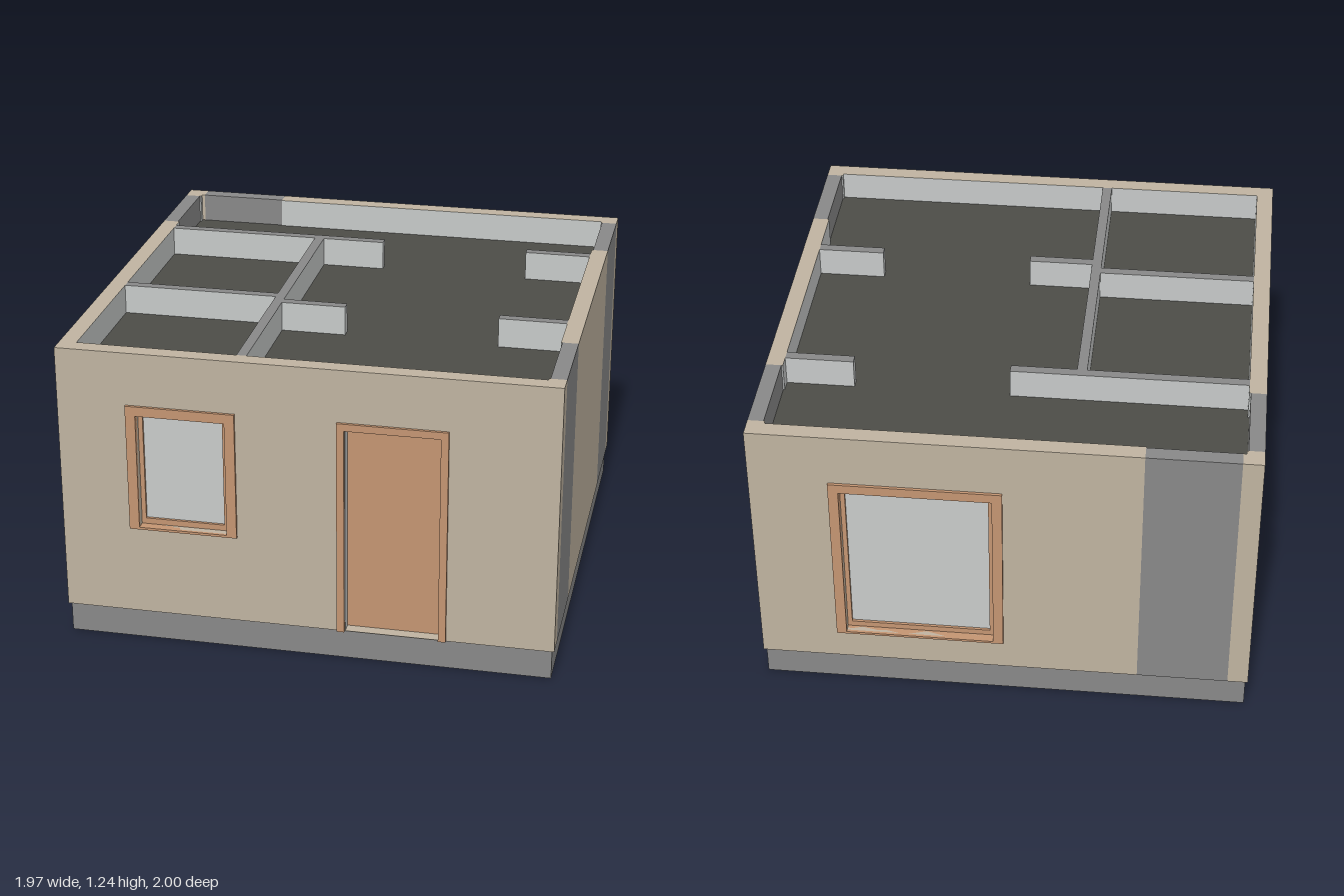
import * as THREE from 'three';

const mat = (name, color) => {
  const m = new THREE.MeshStandardMaterial({ color });
  m.name = name;
  return m;
};

export function createModel() {
  const tan = mat('tan render', 0xbfb3a0);
  const concrete = mat('grey concrete', 0x888888);
  const paint = mat('pale paint', 0xc6c9c8);
  const wood = mat('orange wood', 0xc49572);
  const slabDark = mat('dark slab', 0x4c4c47);
  const glass = mat('pale glass', 0xc8cbca);

  const BASE = 0.125, TOP = 1.24, OUT = 0.987, IN = 0.918, LINER = 0.006;
  const model = new THREE.Group();
  model.name = 'house';

  // Box given by its lower and upper bounds
  const box = (name, m, x0, x1, y0, y1, z0, z1, parent = model) => {
    const mesh = new THREE.Mesh(new THREE.BoxGeometry(x1 - x0, y1 - y0, z1 - z0), m);
    mesh.position.set((x0 + x1) / 2, (y0 + y1) / 2, (z0 + z1) / 2);
    mesh.name = name;
    parent.add(mesh);
    return mesh;
  };
  const painted = top => [paint, paint, top, paint, paint, paint];

  box('foundation', concrete, -0.977, 0.977, 0, BASE, -0.975, 0.975);
  box('ceilingSlab', slabDark, -0.926, 0.926, 1.1, 1.12, -0.926, 0.926);

  // Front or back wall with rectangular openings [x0, x1, y0, y1]
  const openWall = (name, x0, x1, z0, openings) => {
    const rect = (P, a, b, c, d) => {
      const p = new P();
      p.moveTo(a, c); p.lineTo(b, c); p.lineTo(b, d); p.lineTo(a, d); p.closePath();
      return p;
    };
    const shape = rect(THREE.Shape, x0, x1, BASE, TOP);
    openings.forEach(o => shape.holes.push(rect(THREE.Path, ...o)));
    const depth = OUT - IN - LINER;
    const mesh = new THREE.Mesh(new THREE.ExtrudeGeometry(shape, { depth, bevelEnabled: false }), tan);
    mesh.position.z = z0;
    mesh.name = name;
    model.add(mesh);
  };
  const core = IN + LINER;
  const door = [0.155, 0.53, BASE + 0.001, 0.995];
  const frontWindow = [-0.67, -0.315, 0.505, 0.983];
  const backWindow = [0.04, 0.635, 0.265, 0.983];
  openWall('frontWall', -OUT, OUT, core, [door, frontWindow]);
  openWall('backWall', -0.54, OUT, -OUT, [backWindow]);
  box('backWallPanel', concrete, -0.905, -0.54, BASE, TOP, -OUT, -core);
  box('backWallEnd', tan, -OUT, -0.905, BASE, TOP, -OUT, -core);

  // Side walls, split into tan stretches and concrete panels along z
  const cuts = { 1: [-core, -0.905, -0.54, 0.54, 0.905, core], '-1': [-core, -0.905, -0.54, core] };
  for (const side of [1, -1]) {
    const c = cuts[side];
    for (let i = 0; i < c.length - 1; i++) {
      const [x0, x1] = side > 0 ? [core, OUT] : [-OUT, -core];
      const isPanel = i % 2 === 1;
      box(isPanel ? 'sideWallPanel' : 'sideWall', isPanel ? concrete : tan, x0, x1, BASE, TOP, c[i], c[i + 1]);
      // Painted lining on the inner face
      if (!isPanel) {
        const [l0, l1] = side > 0 ? [IN, core] : [-core, -IN];
        box('sideLining', painted(tan), l0, l1, BASE, TOP, c[i], c[i + 1]);
      }
    }
  }
  box('frontLining', painted(tan), -IN, IN, BASE, TOP, IN, core);
  box('backLining', painted(tan), -0.54, IN, BASE, TOP, -core, -IN);

  // Inner partitions: x0, x1, z0, z1
  [
    [-IN, 0.022, -0.49, -0.45], [0.645, IN, -0.49, -0.45],
    [-0.28, -0.24, -0.45, IN], [-IN, -0.28, 0.24, 0.28],
    [-0.24, 0.022, 0.3, 0.34], [0.645, IN, 0.3, 0.34],
  ].forEach(([x0, x1, z0, z1]) => box('partition', painted(concrete), x0, x1, BASE, TOP, z0, z1));

  // Window: trim, recessed sash and pane, modelled facing +z
  const addWindow = (name, [x0, x1, y0, y1], facing) => {
    const g = new THREE.Group();
    g.name = name;
    if (facing < 0) { [x0, x1] = [-x1, -x0]; g.rotation.y = Math.PI; }
    const t = 0.04, s = 0.018, zi = 0.935, zo = 0.999;
    box('trimLeft', wood, x1, x1 + t, y0 - 0.01, y1 + t, zi, zo, g);
    box('trimRight', wood, x0 - t, x0, y0 - 0.01, y1 + t, zi, zo, g);
    box('trimTop', wood, x0, x1, y1, y1 + t, zi, zo, g);
    box('sill', wood, x0, x1, y0 - 0.01, y0, zi, zo, g);
    box('sashLeft', wood, x1 - s, x1, y0, y1, zi, 0.96, g);
    box('sashRight', wood, x0, x0 + s, y0, y1, zi, 0.96, g);
    box('sashTop', wood, x0 + s, x1 - s, y1 - s, y1, zi, 0.96, g);
    box('sashBottom', wood, x0 + s, x1 - s, y0, y0 + 0.024, zi, 0.96, g);
    box('pane', glass, x0 + s, x1 - s, y0 + 0.024, y1 - s, 0.94, 0.949, g);
    model.add(g);
  };
  addWindow('frontWindow', frontWindow, 1);
  addWindow('backWindow', backWindow, -1);

  // Door with trim, painted jambs and recessed leaf
  const [d0, d1, dy, dt] = door, t = 0.03;
  const doorGroup = new THREE.Group();
  doorGroup.name = 'door';
  box('doorLeaf', wood, d0, d1, dy, dt, 0.925, 0.94, doorGroup);
  box('doorTrimRight', wood, d0 - t, d0, BASE, dt + t, 0.98, 0.999, doorGroup);
  box('doorTrimLeft', wood, d1, d1 + t, BASE, dt + t, 0.98, 0.999, doorGroup);
  box('doorTrimTop', wood, d0, d1, dt, dt + t, 0.98, 0.999, doorGroup);
  box('doorJambRight', paint, d0, d0 + 0.002, dy, dt, 0.94, 0.986, doorGroup);
  box('doorJambLeft', paint, d1 - 0.002, d1, dy, dt, 0.94, 0.986, doorGroup);
  box('doorJambTop', paint, d0, d1, dt - 0.002, dt, 0.94, 0.986, doorGroup);
  model.add(doorGroup);

  return model;
}
